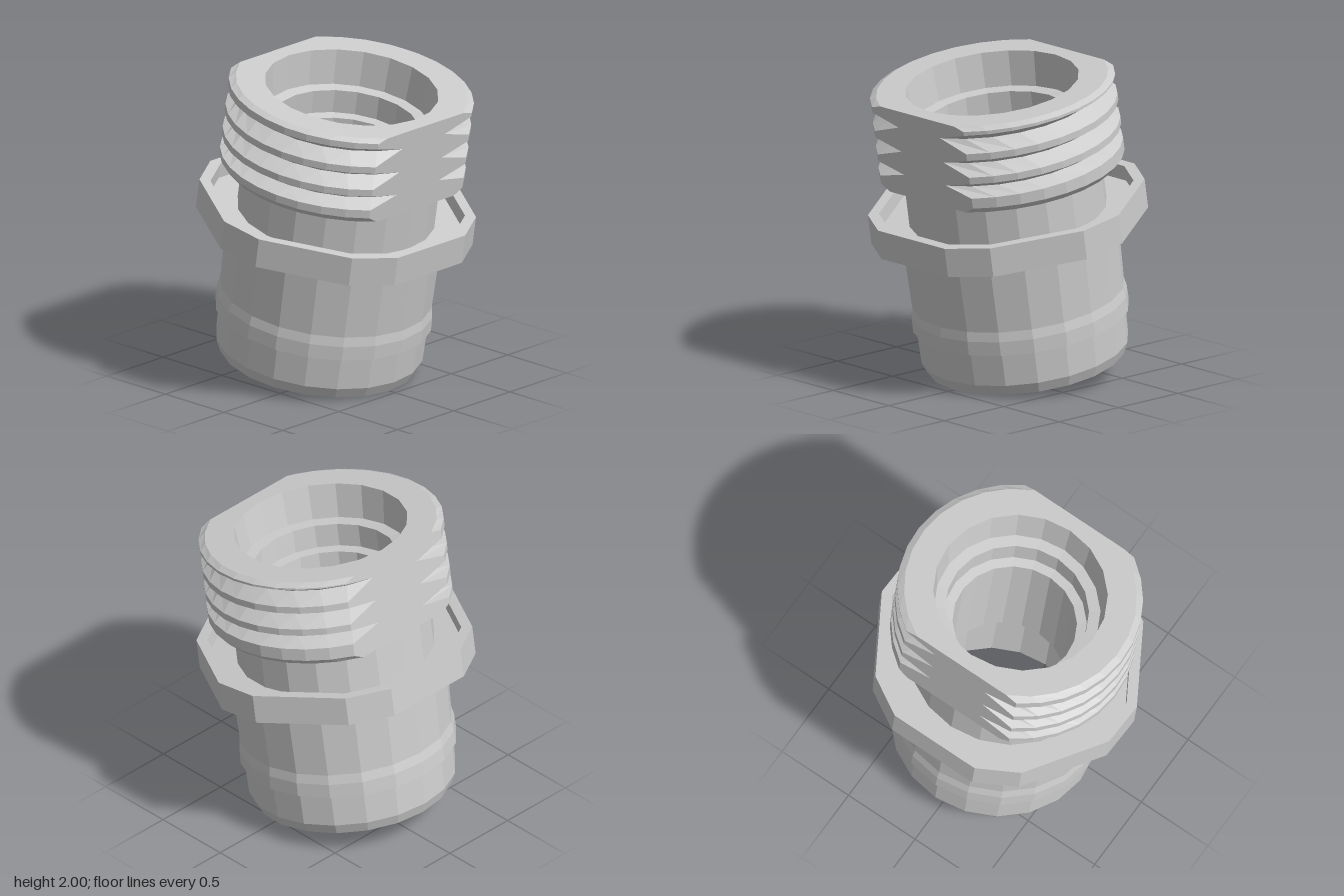
import * as THREE from 'three';

const material = new THREE.MeshStandardMaterial({ color: 0xcccccc, flatShading: true });

// Hollow sleeve with a lower lip, a neck and a stepped bore; [radius, height] pairs,
// from the mouth down the bore, round the bottom edge and up the outside.
function makeBody() {
  const profile = [
    [0.54, 1.823], [0.515, 1.6], [0.445, 1.59], [0.445, 1.44], [0.385, 1.43],
    [0.385, 0.68], [0.56, 0.62], [0.56, 0], [0.615, 0], [0.645, 0.07], [0.65, 0.28],
    [0.674, 0.28], [0.672, 0.37], [0.66, 0.43], [0.672, 0.9], [0.615, 0.92], [0.615, 1.256],
  ];
  const points = profile.map(([r, h]) => new THREE.Vector2(r, h));
  const mesh = new THREE.Mesh(new THREE.LatheGeometry(points, 20), material);
  mesh.name = 'sleeveBody';
  return mesh;
}

// Skin over closed rings of [x, y, z] corners, all with the same number of corners.
function loft(name, rings) {
  const columns = rings[0].length;
  const index = [];
  for (let row = 0; row < rings.length - 1; row++) {
    for (let i = 0; i < columns; i++) {
      const a = row * columns + i, b = row * columns + ((i + 1) % columns);
      index.push(a, b, a + columns, b, b + columns, a + columns);
    }
  }
  const geometry = new THREE.BufferGeometry();
  geometry.setAttribute('position', new THREE.Float32BufferAttribute(rings.flat(2), 3));
  geometry.setIndex(index);
  geometry.computeVertexNormals();
  const mesh = new THREE.Mesh(geometry, material);
  mesh.name = name;
  return mesh;
}

// Threaded end: sharp ridges climbing slightly round the axis, cut by two flats.
// Each ring is two arcs that stop exactly on the flats, so the grooves end in clean points.
function makeThread() {
  const bottom = 1.256, top = 1.823, flat = 0.638, arcSteps = 10;
  const profile = [
    [0.615, bottom], [0.725, bottom], [0.76, 1.295], [0.76, 1.355],
    [0.665, 1.4], [0.76, 1.45], [0.76, 1.494],
    [0.665, 1.555], [0.76, 1.606], [0.76, 1.65],
    [0.665, 1.715], [0.76, 1.772], [0.76, 1.803], [0.72, top], [0.54, top],
  ];
  return loft('threadedEnd', profile.map(([r, h]) => {
    const edge = r > flat ? Math.acos(flat / r) : 0;
    const ring = [];
    for (const side of [1, -1]) {
      for (let i = 0; i <= arcSteps; i++) {
        const t = Math.PI - edge - (i / arcSteps) * (Math.PI - 2 * edge);
        const x = side * r * Math.cos(t), z = side * r * Math.sin(t);
        const climb = h > 1.33 && h < 1.78 ? (0.03 * Math.atan2(-z, x)) / Math.PI : 0;
        ring.push([x, h + climb, z]);
      }
    }
    return ring;
  }));
}

// Twelve-cornered collar with a raised rim round a shallow recess.
function makeCollar() {
  const bottom = 0.878, floor = 0.97, top = 1.066;
  const quarter = [[0.81, 0.3], [0.66, 0.55], [0.15, 0.855]];
  const mirrored = [...quarter].reverse();
  const corners = [
    ...quarter.map(([x, z]) => [x, -z]),
    ...mirrored.map(([x, z]) => [-x, -z]),
    ...quarter.map(([x, z]) => [-x, z]),
    ...mirrored,
  ];
  const outline = (scale, h) => corners.map(([x, z]) => [x * scale, h, z * scale]);
  const circle = (r, h) => corners.map(([x, z]) => {
    const k = r / Math.hypot(x, z);
    return [x * k, h, z * k];
  });
  return loft('collar', [
    circle(0.66, bottom), outline(1, bottom), outline(1, top),
    outline(0.92, top), outline(0.92, floor), circle(0.607, floor),
  ]);
}

export function createModel() {
  const model = new THREE.Group();
  model.name = 'threadedAdapter';

  // Everything is built upright on the fitting's axis, then leaned over.
  const fitting = new THREE.Group();
  fitting.name = 'leaningFitting';
  fitting.add(makeBody(), makeThread(), makeCollar());
  fitting.rotation.z = THREE.MathUtils.degToRad(-9.05);
  fitting.position.set(-0.157, 0.098, 0);
  model.add(fitting);
  return model;
}
